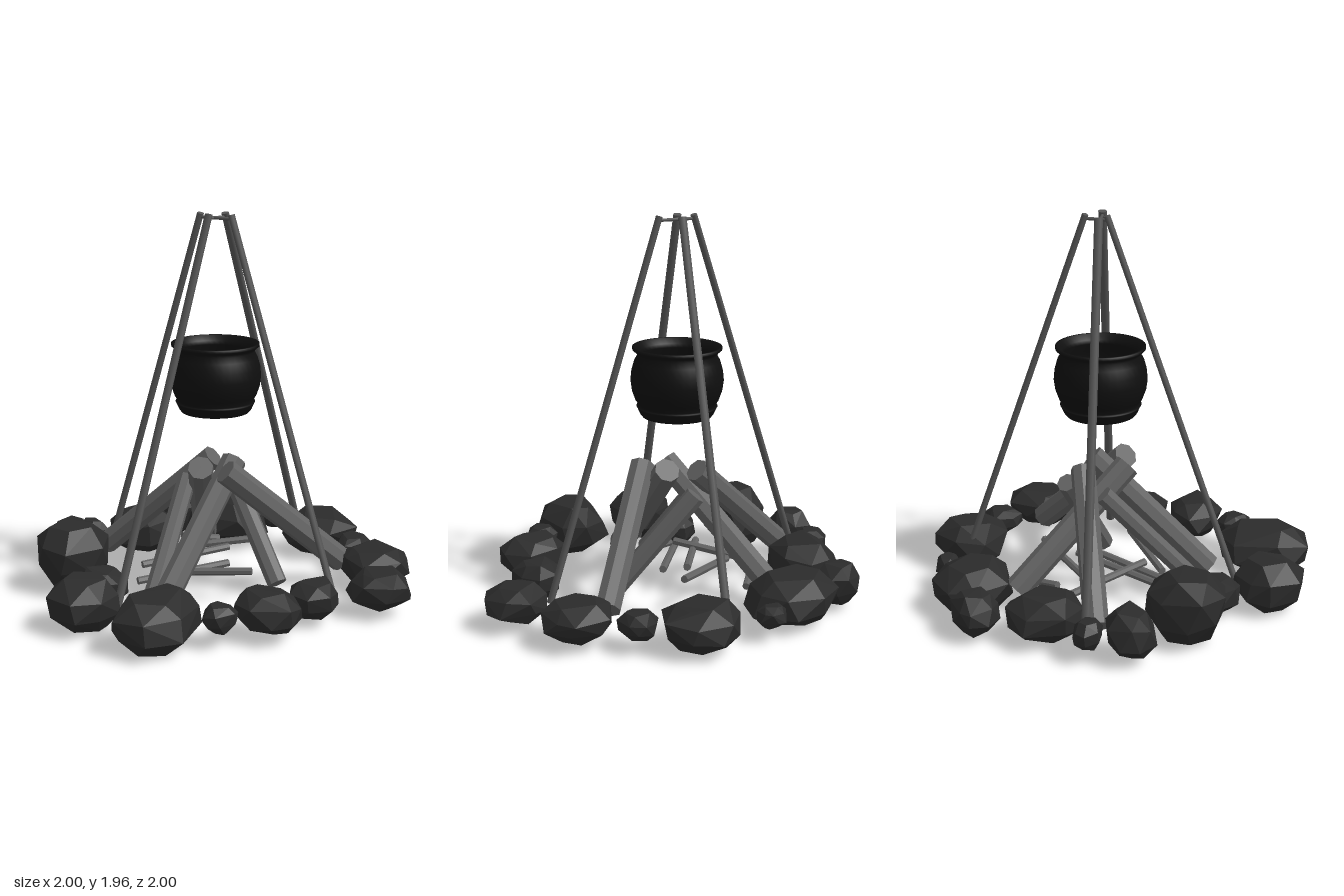
import * as THREE from 'three';
import { ConvexGeometry } from 'three/addons/geometries/ConvexGeometry.js';

const stone = new THREE.MeshStandardMaterial({ color: 0x2b2b2b, flatShading: true });
const wood = new THREE.MeshStandardMaterial({ color: 0x626262, flatShading: true });
const poleWood = new THREE.MeshStandardMaterial({ color: 0x555555 });
const iron = new THREE.MeshStandardMaterial({ color: 0x0f0f0f, side: THREE.DoubleSide });

let seed = 11;
const rand = () => (seed = (seed * 16807) % 2147483647) / 2147483647;

// Cylinder running from point a to point b
function rod(name, a, b, rBottom, rTop, sides, material) {
  const p = new THREE.Vector3(...a), q = new THREE.Vector3(...b);
  const dir = q.clone().sub(p);
  const mesh = new THREE.Mesh(new THREE.CylinderGeometry(rTop, rBottom, dir.length(), sides), material);
  mesh.position.copy(p).add(q).multiplyScalar(0.5);
  mesh.quaternion.setFromUnitVectors(new THREE.Vector3(0, 1, 0), dir.normalize());
  mesh.name = name;
  return mesh;
}

// Faceted boulder: hull of four jittered rings, fitted to the given box
function rock(x0, x1, z0, z1, y0, y1) {
  const pts = [];
  const rings = [[0, 0.6, 6], [0.3, 0.97, 7], [0.7, 0.95, 7], [1, 0.58, 5]];
  for (const [h, r, n] of rings) {
    const turn = rand() * 6.28;
    for (let i = 0; i < n; i++) {
      const a = turn + ((i + (rand() - 0.5) * 0.5) / n) * Math.PI * 2;
      const k = r * (0.9 + rand() * 0.2);
      pts.push(new THREE.Vector3(Math.cos(a) * k, h + (rand() - 0.5) * 0.12, Math.sin(a) * k));
    }
  }
  const box = new THREE.Box3().setFromPoints(pts);
  const size = box.getSize(new THREE.Vector3());
  for (const p of pts) {
    p.sub(box.min).divide(size);
    p.set(x0 + p.x * (x1 - x0), y0 + p.y * (y1 - y0), z0 + p.z * (z1 - z0));
  }
  const mesh = new THREE.Mesh(new ConvexGeometry(pts), stone);
  mesh.name = 'rock';
  return mesh;
}

function group(name, meshes) {
  const g = new THREE.Group();
  g.name = name;
  g.add(...meshes);
  return g;
}

export function createModel() {
  const model = new THREE.Group();
  model.name = 'campfire';

  // Ring of stones: x range, z range, y range
  const rocks = [
    [-0.08, 0.35, -1.0, -0.61, 0.03, 0.26],
    [-0.65, -0.17, -0.89, -0.49, 0.02, 0.27],
    [-0.28, -0.13, -0.92, -0.80, 0.09, 0.20],
    [0.32, 0.50, -0.79, -0.57, 0.08, 0.21],
    [0.46, 0.83, -0.67, -0.29, 0.05, 0.24],
    [0.68, 1.0, -0.33, -0.03, 0.06, 0.24],
    [0.50, 0.75, -0.03, 0.23, 0.05, 0.23],
    [0.36, 0.71, 0.25, 0.54, 0.05, 0.26],
    [0.33, 0.49, 0.50, 0.70, 0.09, 0.22],
    [0.0, 0.36, 0.52, 1.0, 0.01, 0.28],
    [-0.44, -0.09, 0.61, 0.97, 0.02, 0.28],
    [-0.48, -0.24, 0.39, 0.65, 0.04, 0.22],
    [-0.84, -0.48, 0.19, 0.58, 0.03, 0.36],
    [-1.0, -0.75, -0.02 + 0.04, 0.27, 0.04, 0.28],
    [-0.99, -0.81, -0.13, 0.01, 0.08, 0.22],
    [-0.89, -0.53, -0.47, -0.08, 0.03, 0.27],
    [-0.84, -0.60, -0.75, -0.50, 0.04, 0.25],
  ];
  model.add(group('stoneRing', rocks.map((r) => rock(...r))));

  // Leaning logs: foot, head, radius
  const logs = [
    [[-0.01, 0.10, 0.48], [0.0, 0.69, -0.13], 0.066],
    [[-0.42, 0.12, -0.47], [-0.08, 0.68, 0.06], 0.066],
    [[0.47, 0.14, -0.45], [0.06, 0.68, 0.04], 0.066],
    [[-0.77, 0.12, -0.03], [-0.15, 0.68, -0.16], 0.062],
    [[-0.13, 0.08, 0.41], [-0.24, 0.58, -0.05], 0.05],
    [[0.29, 0.08, -0.10], [-0.10, 0.58, -0.25], 0.052],
  ];
  model.add(group('logs', logs.map(([a, b, r]) => rod('log', a, b, r, r, 8, wood))));

  // Kindling lying low between the logs
  const twigs = [
    [[-0.34, 0.15, 0.22], [-0.08, 0.18, -0.20]],
    [[-0.28, 0.11, 0.34], [0.0, 0.14, -0.08]],
    [[0.23, 0.18, 0.05], [-0.20, 0.15, 0.25]],
    [[0.03, 0.20, -0.39], [-0.36, 0.15, -0.10]],
    [[-0.51, 0.14, -0.21], [-0.18, 0.19, 0.16]],
    [[-0.30, 0.12, -0.43], [-0.43, 0.16, -0.26]],
  ];
  model.add(group('kindling', twigs.map(([a, b]) => rod('twig', a, b, 0.02, 0.02, 7, wood))));

  // Four poles, slimmer in the direction they lean
  const poles = [
    [[-0.80, 0.05, -0.08], [-0.168, 1.965, -0.073], 'x'],
    [[0.63, 0.07, -0.095], [0.018, 1.965, -0.073], 'x'],
    [[-0.185, 0.06, 0.64], [-0.095, 1.965, -0.04], 'z'],
    [[0.0, 0.08, -0.81], [-0.07, 1.965, -0.148], 'z'],
  ].map(([a, b, thin]) => {
    const pole = rod('pole', a, b, 0.022, 0.021, 12, poleWood);
    pole.scale[thin] = 0.75;
    return pole;
  });
  // Crossed bars joining the pole heads
  poles.push(
    rod('crossbar', [-0.17, 1.945, -0.073], [0.02, 1.945, -0.073], 0.008, 0.008, 8, poleWood),
    rod('crossbar', [-0.095, 1.945, -0.04], [-0.07, 1.945, -0.15], 0.008, 0.008, 8, poleWood),
  );
  model.add(group('poleFrame', poles));

  // Hollow round pot with a flared rim and foot, outside then inside
  const profile = [
    [0, 0.955], [0.175, 0.955], [0.187, 0.97], [0.2, 1.0], [0.205, 1.008], [0.188, 1.01],
    [0.21, 1.04], [0.228, 1.09], [0.235, 1.14], [0.23, 1.19], [0.216, 1.24], [0.2, 1.27],
    [0.208, 1.285], [0.225, 1.298], [0.226, 1.312], [0.212, 1.312], [0.19, 1.285], [0.185, 1.265],
    [0.205, 1.22], [0.215, 1.15], [0.2, 1.07], [0.165, 1.015], [0, 1.0],
  ].map(([r, y]) => new THREE.Vector2(r, y));
  const pot = new THREE.Mesh(new THREE.LatheGeometry(profile, 40), iron);
  pot.position.set(-0.08, 0, -0.075);
  pot.name = 'pot';
  model.add(pot);

  return model;
}
